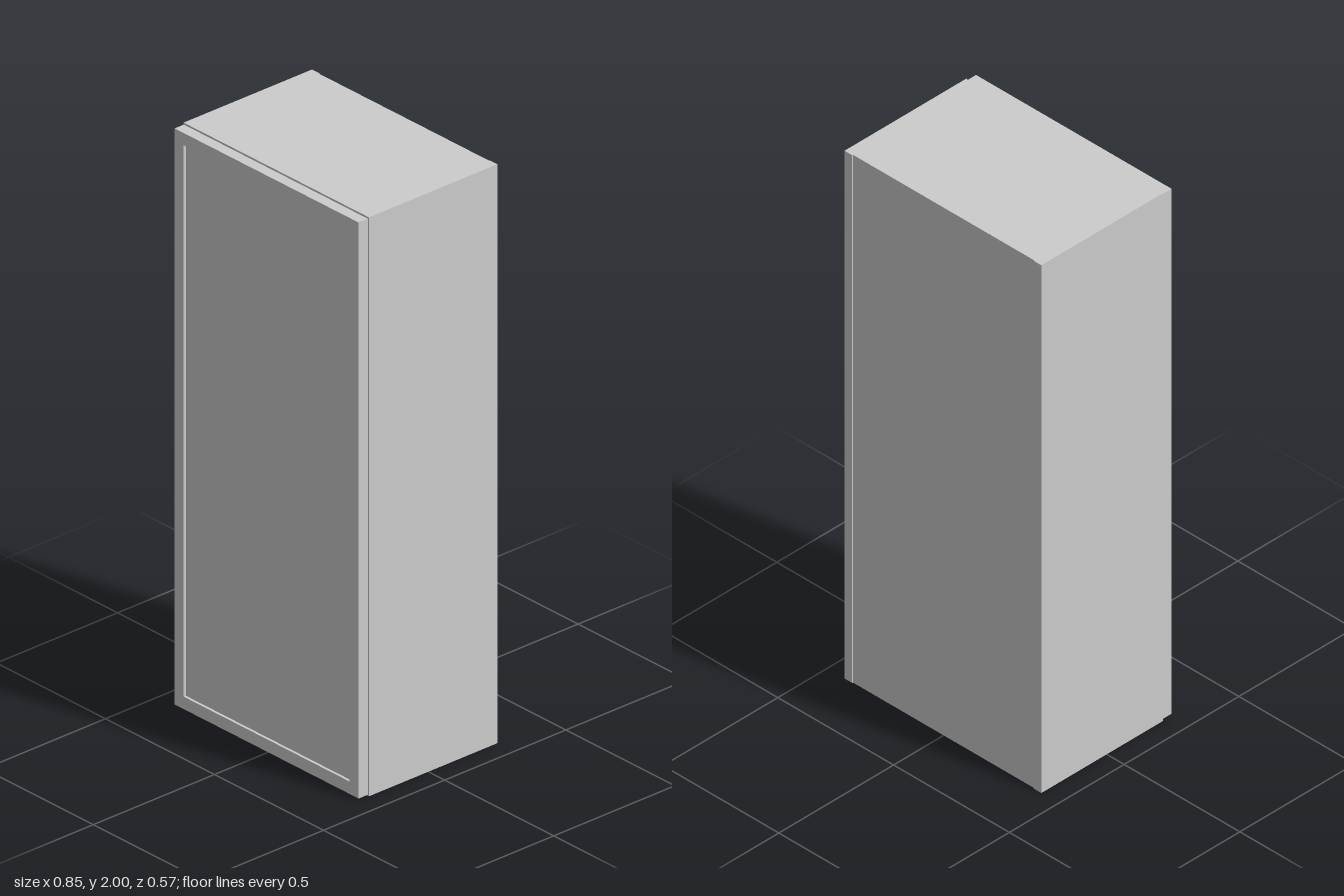
import * as THREE from 'three';

const WIDTH = 0.85, HEIGHT = 2, BACK = -0.285, FRONT = 0.285;
const BOARD = 0.033;          // carcass board thickness
const CARCASS_FRONT = 0.245;  // front edge of the carcass boards
const DOOR_BACK = 0.247;

export function createModel() {
  const group = new THREE.Group();
  group.name = 'cabinet';
  const material = new THREE.MeshStandardMaterial({ color: 0xcccccc });

  const add = (name, geometry, x, y, z) => {
    const mesh = new THREE.Mesh(geometry, material);
    mesh.name = name;
    mesh.position.set(x, y, z);
    group.add(mesh);
  };
  // Box given by its centre x and its y and z ranges
  const board = (name, x, w, y0, y1, z0, z1) =>
    add(name, new THREE.BoxGeometry(w, y1 - y0, z1 - z0), x, (y0 + y1) / 2, (z0 + z1) / 2);

  // Full-height side boards
  for (const [name, s] of [['leftSide', 1], ['rightSide', -1]])
    board(name, s * (WIDTH - BOARD) / 2, BOARD, 0, HEIGHT, BACK, CARCASS_FRONT);

  // Back, top and bottom fitted between the sides; back set in a hair
  const inner = WIDTH - 2 * BOARD;
  const backZ = BACK + 0.003, backFront = backZ + 0.015;
  board('backPanel', 0, inner, 0, HEIGHT, backZ, backFront);
  board('topBoard', 0, inner, HEIGHT - BOARD, HEIGHT, backFront, CARCASS_FRONT);
  board('bottomBoard', 0, inner, 0, BOARD, backFront, CARCASS_FRONT);

  // Door frame with a rectangular opening
  const rect = (path, w, y0, y1) => path
    .moveTo(-w / 2, y0).lineTo(w / 2, y0).lineTo(w / 2, y1).lineTo(-w / 2, y1).closePath();
  const frame = rect(new THREE.Shape(), 0.844, 0.005, 1.995);
  frame.holes.push(rect(new THREE.Path(), 0.76, 0.048, 1.953));
  add('doorFrame', new THREE.ExtrudeGeometry(frame, { depth: FRONT - DOOR_BACK, bevelEnabled: false }),
    0, 0, DOOR_BACK);

  // Recessed door panel
  board('doorPanel', 0, 0.76, 0.048, 1.953, DOOR_BACK + 0.008, FRONT - 0.009);

  return group;
}
